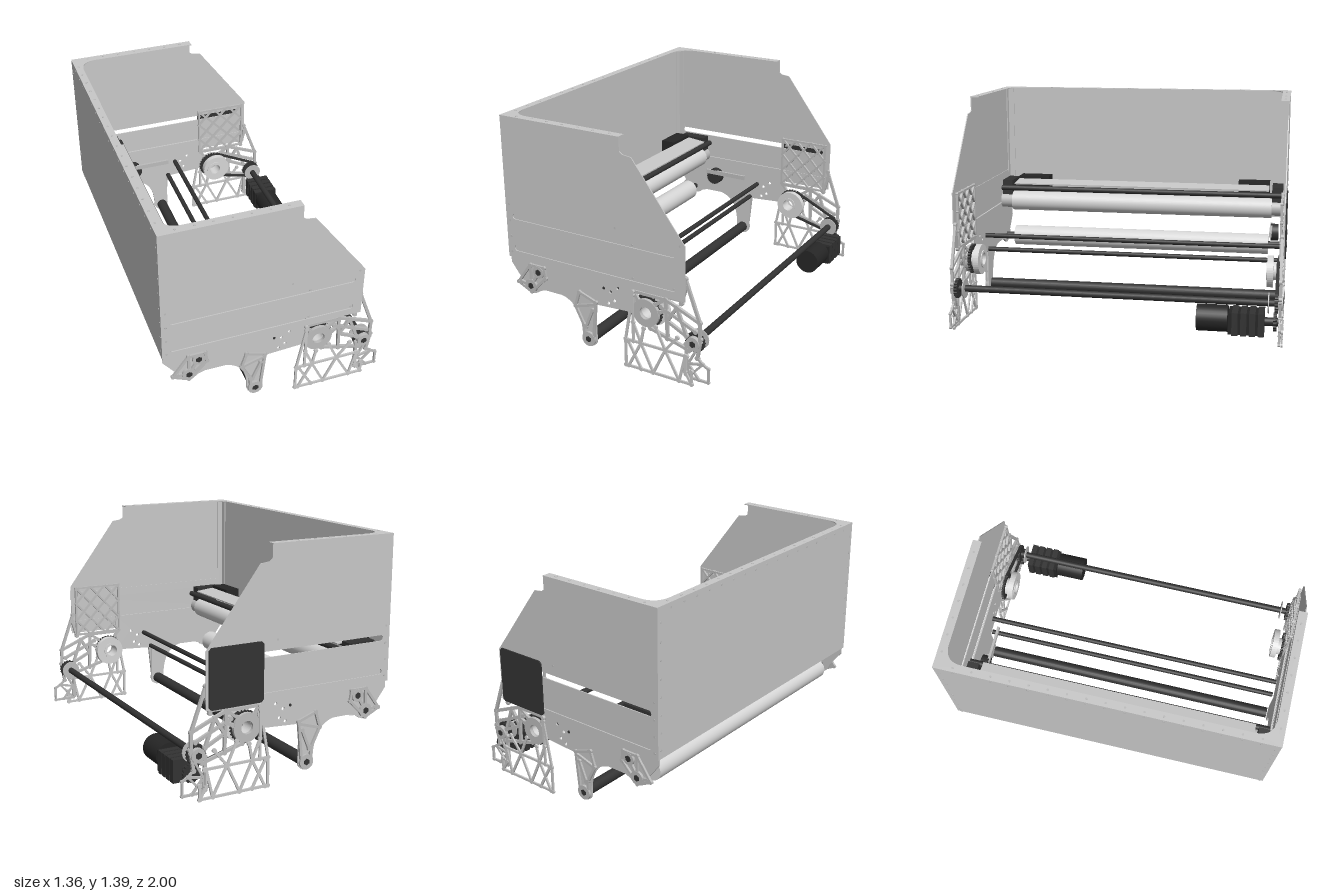
import * as THREE from 'three';
import { mergeGeometries } from 'three/addons/utils/BufferGeometryUtils.js';

const material = (name, color) => Object.assign(new THREE.MeshStandardMaterial({ color }), { name });

export function createModel() {
  const model = new THREE.Group();
  const sheet = material('grey sheet metal', 0xc8c8c8);
  const machined = material('machined bracket', 0xbcbcbc);
  const rollerGrey = material('light roller', 0xd6d6d6);
  const dark = material('dark tube', 0x333333);
  const black = material('black motor', 0x262626);

  const add = (name, geo, mat, x = 0, y = 0, z = 0) => {
    const m = new THREE.Mesh(geo, mat);
    m.name = name;
    m.position.set(x, y, z);
    model.add(m);
    return m;
  };
  const box = (name, mat, x0, x1, y0, y1, z0, z1) =>
    add(name, new THREE.BoxGeometry(x1 - x0, y1 - y0, z1 - z0), mat, (x0 + x1) / 2, (y0 + y1) / 2, (z0 + z1) / 2);
  const rod = (name, mat, x, y, r, z0, z1, sides = 32) =>
    add(name, new THREE.CylinderGeometry(r, r, z1 - z0, sides).rotateX(Math.PI / 2), mat, x, y, (z0 + z1) / 2);
  const poly = pts => new THREE.Shape(pts.map(p => new THREE.Vector2(...p)));
  const circle = (x, y, r) => new THREE.Path().absarc(x, y, r, 0, Math.PI * 2);
  const slot = (x0, x1, y, r) => new THREE.Path()
    .absarc(x1, y, r, -Math.PI / 2, Math.PI / 2).absarc(x0, y, r, Math.PI / 2, Math.PI * 1.5).closePath();
  // flat plate in the x-y plane, centred on depth z
  const plate = (name, mat, shape, z, t, holes = []) => {
    shape.holes = holes;
    const geo = new THREE.ExtrudeGeometry(shape, { depth: t, bevelEnabled: false, curveSegments: 20 });
    return add(name, geo.translate(0, 0, -t / 2), mat, 0, 0, z);
  };
  // truss of straight bars [x0, y0, x1, y1] with round bosses at their ends
  const truss = (name, mat, bars, z, w, t, boss = w * 0.75) => {
    const parts = [];
    for (const [x0, y0, x1, y1] of bars) {
      parts.push(new THREE.BoxGeometry(Math.hypot(x1 - x0, y1 - y0), w, t)
        .rotateZ(Math.atan2(y1 - y0, x1 - x0)).translate((x0 + x1) / 2, (y0 + y1) / 2, z));
      for (const [x, y] of [[x0, y0], [x1, y1]])
        parts.push(new THREE.CylinderGeometry(boss, boss, t + 0.002, 12).rotateX(Math.PI / 2).translate(x, y, z));
    }
    return add(name, mergeGeometries(parts), mat);
  };
  const loop = pts => pts.map((p, i) => [...p, ...pts[(i + 1) % pts.length]]);
  const sprocket = (name, mat, x, y, z, r, teeth, hole, t) => {
    const pts = [];
    for (let i = 0; i < teeth * 4; i++) {
      const a = i / (teeth * 4) * Math.PI * 2, q = i % 4 < 2 ? r : r * 0.91;
      pts.push([x + q * Math.cos(a), y + q * Math.sin(a)]);
    }
    return plate(name, mat, poly(pts), z, t, [circle(x, y, hole)]);
  };

  // back wall and top rim with rounded inner corners
  box('backWall', sheet, -0.683, -0.677, 0.51, 1.38, -0.99, 0.99);
  const rim = poly([[-0.683, -0.993], [0.125, -0.993], [0.125, -0.94], [-0.53, -0.94]]);
  rim.quadraticCurveTo(-0.635, -0.94, -0.635, -0.83).lineTo(-0.635, 0.83)
    .quadraticCurveTo(-0.635, 0.94, -0.53, 0.94).lineTo(0.125, 0.94).lineTo(0.125, 0.993).lineTo(-0.683, 0.993);
  add('topRim', new THREE.ExtrudeGeometry(rim, { depth: 0.006, bevelEnabled: false }).rotateX(Math.PI / 2), sheet, 0, 1.384, 0);

  for (const s of [1, -1]) {
    const span = (name, mat, x0, x1, y0, y1, a, b) => box(name, mat, x0, x1, y0, y1, Math.min(s * a, s * b), Math.max(s * a, s * b));

    // upper side panel with long slots
    plate('sidePanel', sheet, poly([[-0.683, 0.51], [0.53, 0.51], [0.53, 0.84], [0.2, 1.28], [0.145, 1.287], [0.127, 1.3],
      [0.125, 1.38], [-0.683, 1.38]]), s * 0.988, 0.006, [slot(-0.62, 0.46, 0.775, 0.017), slot(-0.62, 0.46, 0.573, 0.017)]);
    if (s > 0) span('slotCover', sheet, -0.64, 0.48, 0.75, 0.8, 0.98, 0.984);
    span('lowerSlotCover', sheet, 0.18, 0.49, 0.55, 0.597, 0.98, 0.984);
    span('cornerPost', sheet, -0.677, -0.635, 0.51, 1.378, 0.978, 0.984);
    span('cornerPost', sheet, -0.676, -0.67, 0.51, 1.378, 0.94, 0.984);

    // lower side plate with scalloped bottom and hanging arm
    const lower = poly([[0.2, 0.6], [-0.677, 0.6], [-0.677, 0.47], [-0.6, 0.37], [-0.585, 0.33]]);
    lower.quadraticCurveTo(-0.53, 0.27, -0.47, 0.325).lineTo(-0.43, 0.338).lineTo(-0.31, 0.338)
      .quadraticCurveTo(-0.17, 0.31, -0.172, 0.105).absarc(-0.122, 0.105, 0.05, Math.PI, Math.PI * 2)
      .lineTo(-0.078, 0.33).lineTo(-0.05, 0.34).lineTo(0.2, 0.355);
    plate('lowerSidePlate', sheet, lower, s * 0.975, 0.01,
      [[0.035, 0.445], [0.06, 0.395], [0.085, 0.48], [0.02, 0.37]].map(([x, y]) => circle(x, y, 0.01)));

    // roller bearing bracket and arm bracket
    truss('rollerBracket', machined, loop([[-0.625, 0.355], [-0.53, 0.31], [-0.42, 0.42], [-0.43, 0.485], [-0.53, 0.485]])
      .concat([[-0.53, 0.35, -0.47, 0.45], [-0.53, 0.35, -0.6, 0.36], [-0.53, 0.35, -0.53, 0.48]]), s * 0.986, 0.016, 0.014);
    truss('armBracket', machined, loop([[-0.18, 0.395], [-0.065, 0.355], [-0.09, 0.11], [-0.15, 0.11], [-0.155, 0.19], [-0.21, 0.3]])
      .concat([[-0.2, 0.3, -0.07, 0.34], [-0.14, 0.18, -0.09, 0.3]]), s * 0.986, 0.016, 0.014);
    for (const [x, y, r] of [[-0.53, 0.35, 0.042], [-0.47, 0.45, 0.038], [-0.122, 0.105, 0.045]]) {
      rod('bearing', machined, x, y, r, s * 0.983 - 0.012, s * 0.983 + 0.012);
      rod('hexShaftEnd', dark, x, y, 0.02, s * 0.984 - 0.013, s * 0.984 + 0.013, 6);
    }
    for (const [x, y] of [[-0.01, 0.46], [-0.065, 0.355]])
      rod('rodEnd', dark, x, y, 0.008, s * 0.982 - 0.002, s * 0.982 + 0.002, 12);

    // inner diamond lattice behind the side panel
    const g = [];
    for (const [x0, y0, x1, y1] of [[0.18, 0.72, 0.28, 0.83], [0.18, 0.6, 0.39, 0.83], [0.18, 0.5, 0.5, 0.83], [0.29, 0.5, 0.5, 0.72],
      [0.4, 0.5, 0.5, 0.6]]) g.push([x0, y0, x1, y1], [0.68 - x0, y0, 0.68 - x1, y1]);
    truss('innerLattice', machined, loop([[0.18, 0.5], [0.5, 0.5], [0.5, 0.83], [0.18, 0.83]]).concat(g), s * 0.968, 0.012, 0.014);

    // open truss guard standing on the floor
    truss('sideGuard', sheet, [
      [0.137, 0.012, 0.57, 0.012], [0.137, 0.012, 0.137, 0.18], [0.137, 0.18, 0.54, 0.18], [0.57, 0.012, 0.57, 0.09],
      [0.137, 0.18, 0.19, 0.47], [0.19, 0.18, 0.19, 0.49], [0.155, 0.012, 0.24, 0.18], [0.155, 0.17, 0.24, 0.012],
      [0.24, 0.18, 0.32, 0.012], [0.32, 0.012, 0.4, 0.18], [0.4, 0.18, 0.49, 0.012], [0.49, 0.012, 0.53, 0.18],
      [0.24, 0.18, 0.26, 0.28], [0.24, 0.18, 0.19, 0.3], [0.4, 0.18, 0.34, 0.31], [0.4, 0.18, 0.48, 0.28],
      [0.53, 0.18, 0.53, 0.08], [0.53, 0.08, 0.57, 0.012]], s * 0.99, 0.015, 0.01, 0.013);

    // gearbox plate linking hub, drive shaft and lattice
    truss('gearboxPlate', machined, [
      [0.19, 0.49, 0.4, 0.49], [0.4, 0.49, 0.615, 0.4], [0.615, 0.4, 0.615, 0.28], [0.525, 0.645, 0.615, 0.4],
      [0.19, 0.49, 0.22, 0.44], [0.4, 0.49, 0.33, 0.44], [0.37, 0.44, 0.59, 0.34], [0.3, 0.285, 0.55, 0.215],
      [0.4, 0.49, 0.41, 0.25], [0.47, 0.46, 0.53, 0.3], [0.47, 0.46, 0.41, 0.36], [0.41, 0.36, 0.53, 0.3], [0.4, 0.42, 0.36, 0.4],
      [0.53, 0.25, 0.53, 0.06], [0.62, 0.3, 0.6, 0.18], [0.19, 0.35, 0.22, 0.34], [0.5, 0.49, 0.53, 0.6]], s * 0.976, 0.018, 0.016);
    plate('hubRing', machined, new THREE.Shape().absarc(0.272, 0.375, 0.085, 0, Math.PI * 2), s * 0.978, 0.02, [circle(0.272, 0.375, 0.038)]);
    sprocket('hubSprocket', dark, 0.272, 0.375, s * 0.957, 0.094, 28, 0.06, 0.014);
    plate('hub', rollerGrey, new THREE.Shape().absarc(0.285, 0.375, 0.095, 0, Math.PI * 2), s * 0.908, 0.036, [circle(0.272, 0.375, 0.04)]);
    plate('hubSleeve', rollerGrey, new THREE.Shape().absarc(0.272, 0.375, 0.055, 0, Math.PI * 2), s * 0.925, 0.08, [circle(0.272, 0.375, 0.038)]);
    sprocket('shaftSprocket', dark, 0.575, 0.265, s * 0.955, 0.06, 18, 0.02, 0.02);
    rod('shaftBearing', machined, 0.575, 0.265, 0.042, s * 0.978 - 0.013, s * 0.978 + 0.013);
    rod('shaftEnd', dark, 0.575, 0.265, 0.02, s * 0.98 - 0.013, s * 0.98 + 0.013, 6);
    rod('shaftDisc', machined, 0.575, 0.265, 0.06, s * 0.91 - 0.003, s * 0.91 + 0.003);

    // small outrigger bracket at the foot of the gearbox
    truss('footBracket', machined, loop([[0.54, 0.045], [0.67, 0.045], [0.67, 0.13], [0.635, 0.15], [0.54, 0.13]])
      .concat([[0.54, 0.045, 0.635, 0.15], [0.54, 0.13, 0.61, 0.045], [0.6, 0.18, 0.635, 0.15], [0.54, 0.13, 0.62, 0.28]]), s * 0.976, 0.013, 0.012);

    // compact motor beside the upper tray
    span('trayMotor', black, -0.63, -0.53, 0.685, 0.775, 0.66, 0.87);
    span('trayMotorMount', dark, -0.6, -0.42, 0.66, 0.76, 0.89, 0.96);
    rod('upperRollerBearing', machined, -0.455, 0.615, 0.05, s * 0.93 - 0.04, s * 0.93 + 0.04);
  }

  // dark cover plate on one side
  const cover = poly([[0.19, 0.51], [0.5, 0.51], [0.515, 0.525], [0.515, 0.84], [0.5, 0.855], [0.19, 0.855], [0.175, 0.84], [0.175, 0.525]]);
  plate('sideCover', dark, cover, -0.995, 0.008);

  // rollers and cross tubes
  rod('upperRoller', rollerGrey, -0.455, 0.615, 0.066, -0.89, 0.89, 40);
  rod('lowerRoller', rollerGrey, -0.53, 0.35, 0.068, -0.87, 0.9, 40);
  rod('lowerRollerShaft', dark, -0.53, 0.35, 0.02, -0.975, 0.975, 6);
  for (const [x, y, r] of [[-0.405, 0.71, 0.018], [-0.01, 0.46, 0.015], [-0.065, 0.355, 0.015], [0.575, 0.265, 0.02], [-0.12, 0.107, 0.035]])
    rod('crossTube', dark, x, y, r, -0.96, 0.96, 20);

  // sloped tray above the upper roller
  box('tray', sheet, -0.53, -0.4, 0.742, 0.75, -0.87, 0.87).rotation.z = -0.1;
  box('trayLip', sheet, -0.533, -0.527, 0.7, 0.755, -0.6, 0.6);

  // inner pulley and tie bar near one side
  rod('innerPulley', dark, -0.33, 0.48, 0.055, -0.94, -0.89);
  box('tieBar', machined, -0.39, -0.08, 0.5, 0.53, -0.9, -0.885);

  // drive motor with stepped body
  rod('driveMotorCan', black, 0.6, 0.168, 0.078, -0.68, -0.5);
  box('driveMotorGearbox', black, 0.525, 0.675, 0.095, 0.22, -0.86, -0.685);
  for (let i = 0; i < 4; i++)
    box('gearboxStage', dark, 0.52, 0.68, 0.09, 0.225, -0.89 + i * 0.05, -0.855 + i * 0.05);
  rod('driveMotorShaft', dark, 0.6, 0.16, 0.025, -0.97, -0.88);
  sprocket('driveMotorPulley', dark, 0.6, 0.16, -0.95, 0.055, 16, 0.02, 0.02);

  // belt from the drive shaft to the hub
  truss('driveBelt', dark, [[0.31, 0.458, 0.597, 0.318], [0.25, 0.288, 0.56, 0.208]], -0.955, 0.012, 0.018, 0.007);

  // fasteners along the rim, panels and tray
  const dots = [];
  const dot = (axis, x, y, z) => {
    const g = new THREE.CylinderGeometry(0.007, 0.007, 0.003, 8);
    if (axis === 'z') g.rotateX(Math.PI / 2);
    if (axis === 'x') g.rotateZ(Math.PI / 2);
    dots.push(g.translate(x, y, z));
  };
  for (let i = -8; i <= 8; i++) {
    dot('y', -0.66, 1.384, i * 0.11);
    dot('x', -0.683, 1.355, i * 0.11);
  }
  for (const s of [1, -1]) {
    for (let i = 0; i < 7; i++) dot('y', -0.58 + i * 0.105, 1.384, s * 0.966);
    for (let i = 0; i < 8; i++) dot('x', -0.683, 0.56 + i * 0.105, s * 0.965);
    for (const y of [0.545, 0.645, 0.745, 0.847]) dot('z', -0.657, y, s * 0.991);
    for (const [x, y] of [[0.5, 0.835], [0.085, 0.852], [0.195, 0.775], [0.195, 0.573], [0.46, 0.573]]) dot('z', x, y, s * 0.991);
  }
  add('fasteners', mergeGeometries(dots), machined);
  return model;
}
